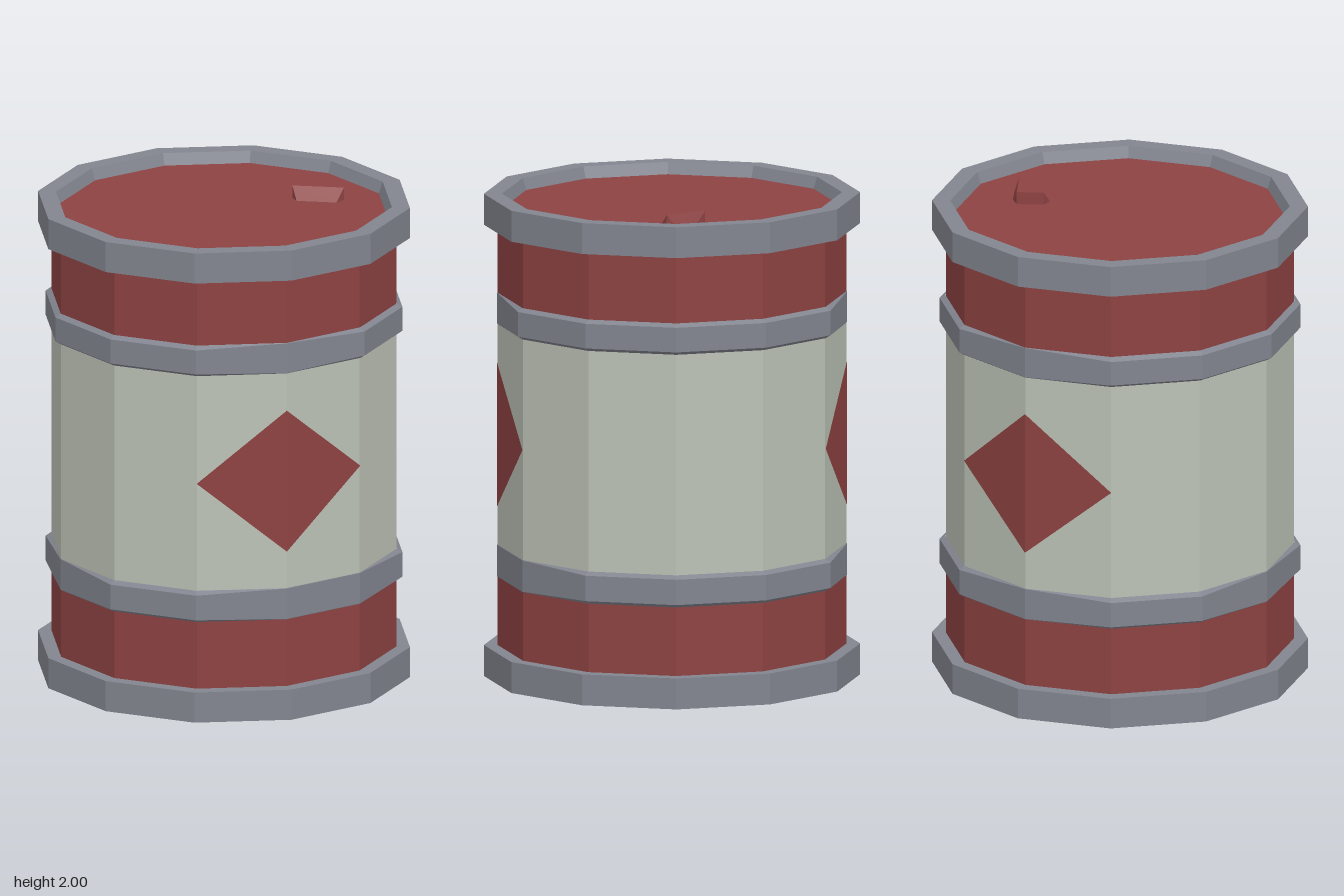
import * as THREE from 'three';
import { ConvexGeometry } from 'three/addons/geometries/ConvexGeometry.js';

const SIDES = 12;
const BODY_R = 0.71;

const red = new THREE.MeshStandardMaterial({ color: 0x8e4242 });
red.name = 'dull red paint';
const cream = new THREE.MeshStandardMaterial({ color: 0xbcc2b6 });
cream.name = 'pale grey green paint';
const steel = new THREE.MeshStandardMaterial({ color: 0x82858f });
steel.name = 'grey steel';

// Facets a geometry so that every face has its own normal
function faceted(geometry) {
  const flat = geometry.index ? geometry.toNonIndexed() : geometry;
  flat.computeVertexNormals();
  return flat;
}

function part(name, geometry, material) {
  const mesh = new THREE.Mesh(faceted(geometry), material);
  mesh.name = name;
  return mesh;
}

function lathe(points) {
  return new THREE.LatheGeometry(points.map(([r, y]) => new THREE.Vector2(r, y)), SIDES);
}

// Plain section of the drum wall
function wall(name, y0, y1, material) {
  return part(name, lathe([[BODY_R, y0], [BODY_R, y1]]), material);
}

// Bevelled hoop; at the pinched corners it is hammered in against the wall
function hoop(name, y0, y1, pinched) {
  const bevel = 0.014;
  const inner = 0.712;
  const geometry = lathe([[inner, y0], [0.735, y0 + bevel], [0.735, y1 - bevel], [inner, y1]]);
  const pos = geometry.attributes.position;
  for (let i = 0; i < pos.count; i++) {
    const corner = Math.floor(i / 4) % SIDES;
    if (!pinched.includes(corner)) continue;
    const row = i % 4;
    const angle = (corner / SIDES) * Math.PI * 2;
    const r = row === 1 || row === 2 ? inner + 0.001 : inner;
    const y = row < 2 ? y0 + row * 0.002 : y1 - (3 - row) * 0.002;
    pos.setXYZ(i, Math.sin(angle) * r, y, Math.cos(angle) * r);
  }
  return part(name, geometry, steel);
}

// Rim with a recessed lid, built for the top end
function drumEnd(name) {
  const end = new THREE.Group();
  end.name = name;
  end.add(part('rim', lathe([
    [0.7, 1.868], [0.766, 1.868], [0.766, 1.996], [0.692, 1.996], [0.674, 1.945],
  ]), steel));
  const lid = new THREE.CircleGeometry(0.68, SIDES);
  lid.rotateX(-Math.PI / 2);
  lid.translate(0, 1.948, 0);
  end.add(part('lid', lid, red));
  return end;
}

// Diamond folded over the corner of the wall
function diamond(name) {
  const r = BODY_R + 0.003;
  const x = r * Math.sin(Math.PI / 6);
  const z = r * Math.cos(Math.PI / 6);
  const geometry = new THREE.BufferGeometry();
  geometry.setAttribute('position', new THREE.Float32BufferAttribute([
    0, 0.7, r, x, 1, z, 0, 1.3, r,
    0, 0.7, r, 0, 1.3, r, -x, 1, z,
  ], 3));
  return part(name, geometry, red);
}

export function createModel() {
  const drum = new THREE.Group();
  drum.name = 'drum';

  // Painted wall
  drum.add(wall('lowerWall', 0.1, 0.48, red));
  drum.add(wall('middleWall', 0.48, 1.52, cream));
  drum.add(wall('upperWall', 1.52, 1.9, red));

  // Hoops
  drum.add(hoop('lowerHoop', 0.412, 0.545, [0, 1, 6, 9]));
  drum.add(hoop('upperHoop', 1.458, 1.588, [0, 6]));

  // Ends
  drum.add(drumEnd('topEnd'));
  const bottom = drumEnd('bottomEnd');
  bottom.rotation.x = Math.PI;
  bottom.position.y = 1.996;
  drum.add(bottom);

  // Front and back diamonds
  drum.add(diamond('frontDiamond'));
  const back = diamond('backDiamond');
  back.rotation.y = Math.PI;
  drum.add(back);

  // Faceted filler cap on the lid
  const top = 2.0;
  const base = 1.945;
  const corners = [
    [0.325, top, -0.07], [0.42, top, -0.125], [0.51, top, 0.033],
    [0.325, base, -0.07], [0.42, base, -0.125], [0.465, base, -0.085],
    [0.51, base, -0.005], [0.51, base, 0.035], [0.465, base, 0.06], [0.325, base, -0.02],
  ];
  drum.add(part('fillerCap', new ConvexGeometry(corners.map((p) => new THREE.Vector3(...p))), red));

  return drum;
}
